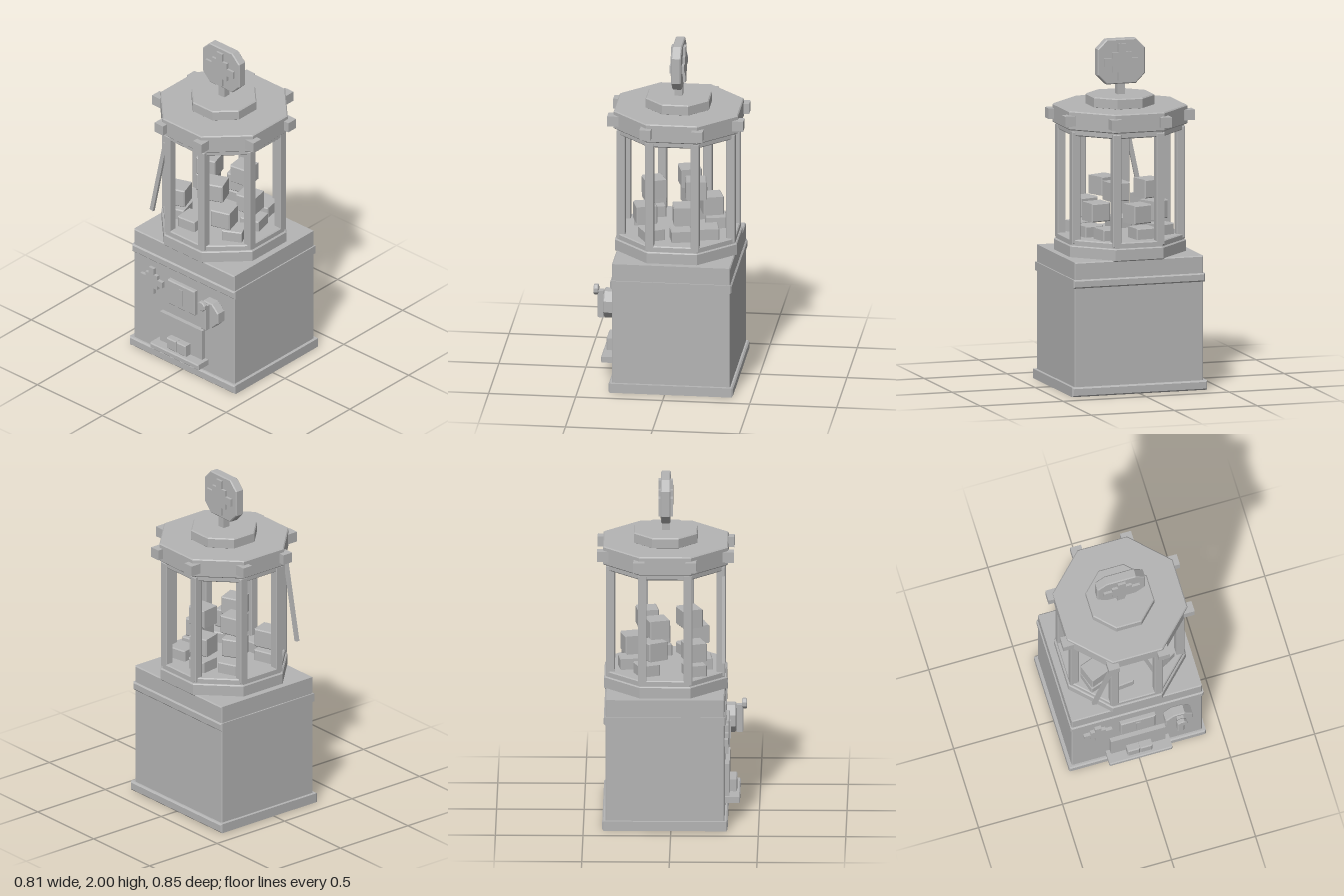
import * as THREE from 'three';

const CZ = -0.034; // depth of the cabinet's centre line

export function createModel() {
  const model = new THREE.Group();
  model.name = 'prizeMachine';
  const grey = new THREE.MeshStandardMaterial({ color: 0xb4b4b4, flatShading: true });
  grey.name = 'plain grey';

  const add = (name, geometry, x, y, z, parent = model) => {
    const mesh = new THREE.Mesh(geometry, grey);
    mesh.name = name;
    mesh.position.set(x, y, z);
    parent.add(mesh);
    return mesh;
  };
  const group = (name) => {
    const g = new THREE.Group();
    g.name = name;
    model.add(g);
    return g;
  };

  // Outline extruded along z, centred, with a small chamfer inside its size
  const slab = (points, depth, bevel) => {
    const shape = new THREE.Shape(points.map(([x, y]) => new THREE.Vector2(x, y)));
    const g = new THREE.ExtrudeGeometry(shape, {
      depth: depth - 2 * bevel, bevelEnabled: bevel > 0, bevelSegments: 1,
      bevelSize: bevel, bevelThickness: bevel, bevelOffset: -bevel,
    });
    return g.translate(0, 0, bevel - depth / 2);
  };
  // Rectangle with cut corners
  const cutRect = (w, h, c) => {
    const a = w / 2, b = h / 2;
    return [[a, c - b], [a, b - c], [a - c, b], [c - a, b], [-a, b - c], [-a, c - b], [c - a, -b], [a - c, -b]];
  };
  const octagon = (apothem) => cutRect(2 * apothem, 2 * apothem, apothem * (2 - Math.SQRT2));
  const rect = (w, h) => [[-w / 2, -h / 2], [w / 2, -h / 2], [w / 2, h / 2], [-w / 2, h / 2]];
  const box = (w, h, d, bevel = 0.006) => slab(rect(w, h), d, bevel);
  // Stepped star: square body with four narrow arms
  const star = (r, body, arm) => {
    const quarter = [[r, -arm], [r, arm], [body, arm], [body, body], [arm, body]];
    const points = [];
    for (let i = 0; i < 4; i++) {
      const c = [1, 0, -1, 0][i], s = [0, 1, 0, -1][i];
      for (const [x, y] of quarter) points.push([x * c - y * s, x * s + y * c]);
    }
    return points;
  };

  // Upright octagonal tier between two heights
  const tier = (name, apothem, y0, y1, bevel = 0.006) =>
    add(name, slab(octagon(apothem), y1 - y0, bevel).rotateX(-Math.PI / 2), 0, (y0 + y1) / 2, CZ);

  // Cabinet
  add('cabinet', box(0.776, 0.75, 0.68), 0, 0.4, CZ);
  add('basePlinth', box(0.814, 0.055, 0.716, 0.008), 0, 0.0275, CZ);
  add('cabinetBand', box(0.792, 0.05, 0.698, 0.008), 0, 0.65, CZ);

  // Display drum and roof
  tier('drumBase', 0.35, 0.768, 0.842);
  tier('drumFloor', 0.34, 0.835, 0.875);
  tier('roofLip', 0.337, 1.475, 1.515);
  tier('roof', 0.357, 1.51, 1.62);
  tier('roofCap', 0.182, 1.615, 1.68);

  // Posts and roof studs at the eight corners
  const posts = group('posts'), studs = group('roofStuds');
  for (let i = 0; i < 8; i++) {
    const a = Math.PI / 8 + i * Math.PI / 4;
    const c = Math.cos(a), s = Math.sin(a);
    add('post', box(0.05, 0.65, 0.05, 0.004), 0.341 * c, 1.175, CZ + 0.341 * s, posts);
    add('roofStud', box(0.065, 0.06, 0.065, 0), 0.388 * c, 1.565, CZ + 0.388 * s, studs);
  }

  // Leaning glint strip on the window
  add('windowStrip', box(0.026, 0.5, 0.016, 0), -0.2, 1.2, 0.298).rotation.z = -0.21;

  // Sign on the roof, with a star on both faces
  add('signStem', box(0.046, 0.09, 0.046, 0), 0, 1.71, CZ);
  add('signBoard', slab(cutRect(0.285, 0.26, 0.055), 0.055, 0.006), 0, 1.87, CZ);
  add('signStar', slab(star(0.107, 0.058, 0.023), 0.083, 0), 0, 1.868, CZ);

  // Heap of prize blocks: x, z and turn, layer by layer
  const prizes = group('prizeBlocks');
  const layers = [
    [0.885, [[-0.2, 0.13, 0.3], [-0.06, 0.17, 0.1], [0.2, 0.1, 0.5], [0.14, -0.22, 0.2],
      [-0.2, -0.14, 0.4], [-0.06, -0.24, 0.15], [0.2, -0.07, 0.25]]],
    [1.015, [[-0.2, 0.13, 0.35], [-0.04, -0.22, 0.3], [0.16, 0.14, 0.3], [0.16, -0.08, 0.2], [-0.18, -0.1, 0.5]]],
    [1.138, [[-0.15, -0.08, 0.3], [0.06, -0.14, 0.15], [0.06, 0.1, 0.4]]],
  ];
  for (const [y, blocks] of layers)
    for (const [x, z, turn] of blocks)
      add('prizeBlock', box(0.12, 0.108, 0.12), x, y, z, prizes).rotation.y = turn;

  // Front panel: star badge, coin plate and slot
  add('panelStar', slab(star(0.084, 0.045, 0.019), 0.03, 0), -0.235, 0.5, 0.311);
  add('coinPlate', box(0.208, 0.16, 0.04), 0, 0.485, 0.312);
  add('coinSlot', box(0.026, 0.105, 0.02, 0), 0, 0.485, 0.327);

  // Turning handle
  const handle = group('handle');
  add('handleDisc', slab(octagon(0.08), 0.06, 0.006), 0.235, 0.485, 0.335, handle);
  add('handleBar', box(0.04, 0.16, 0.042), 0.235, 0.48, 0.384, handle);
  add('handleKnob', slab(octagon(0.029), 0.028, 0.005), 0.237, 0.565, 0.412, handle);

  // Prize chute, tray and two delivered blocks
  add('chuteDoor', box(0.325, 0.195, 0.03, 0), 0, 0.23, 0.317);
  add('tray', box(0.374, 0.035, 0.1), 0, 0.118, 0.342);
  for (const side of [-1, 1])
    add('deliveredBlock', box(0.073, 0.072, 0.06), 0.037 * side, 0.171, 0.344);

  return model;
}
